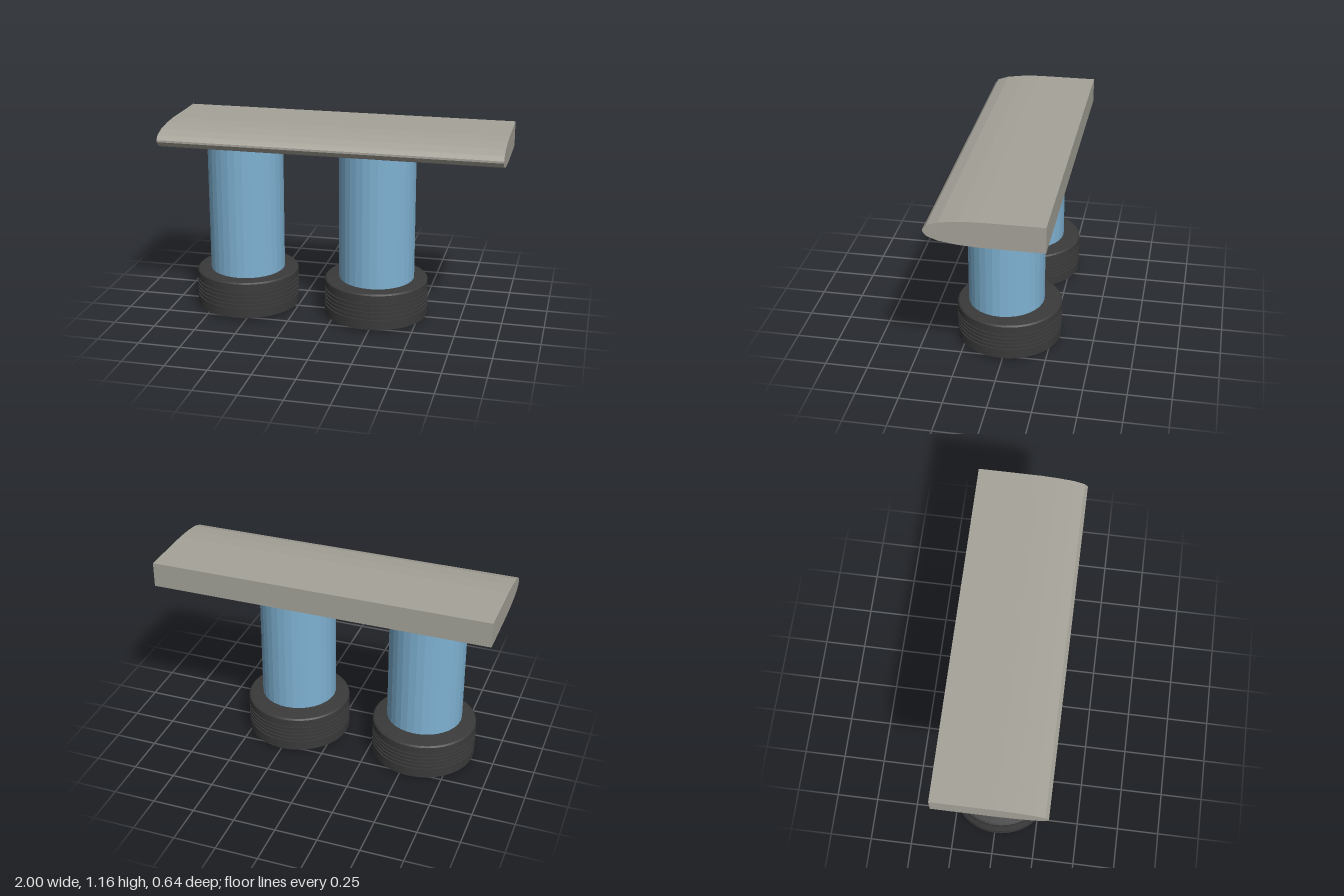
import * as THREE from 'three';

const material = (color) => new THREE.MeshStandardMaterial({ color, flatShading: true });

export function createModel() {
  const model = new THREE.Group();
  const slabMaterial = material(0xa5a399);
  const pillarMaterial = material(0x7fb2d3);
  const collarMaterial = material(0x3a3a3a);

  function add(name, geometry, mat, x = 0, y = 0, z = 0) {
    const mesh = new THREE.Mesh(geometry, mat);
    mesh.name = name;
    mesh.position.set(x, y, z);
    model.add(mesh);
  }

  // Slab: rounded nose at the front, square back; upper edge mirrored about its middle
  const middle = 1.084;
  const upper = [[-0.322, 0.006], [-0.302, 0.031], [-0.24, 0.053], [-0.14, 0.067], [-0.04, 0.073], [0.32, 0.074]];
  const outline = [
    ...upper.map(([u, h]) => new THREE.Vector2(u, h)),
    ...upper.map(([u, h]) => new THREE.Vector2(u, -h)).reverse(),
  ];
  const slab = new THREE.ExtrudeGeometry(new THREE.Shape(outline), { depth: 2, bevelEnabled: false });
  slab.rotateY(Math.PI / 2).translate(-1, middle, 0);
  add('slab', slab, slabMaterial);

  // Pillar, its top buried in the slab
  const pillar = new THREE.CylinderGeometry(0.225, 0.225, 1.08, 32);

  // Collar profile: lower band, four narrow grooves, upper band, sloping top
  const profile = [[0.2, 0.02], [0.31, 0.02], [0.31, 0.08]];
  for (let i = 0; i < 4; i++) {
    const y = 0.08 + i * 0.025;
    profile.push([0.302, y], [0.302, y + 0.011], [0.31, y + 0.011], [0.31, y + 0.025]);
  }
  profile.push([0.302, 0.18], [0.302, 0.19], [0.31, 0.19], [0.308, 0.232], [0.3, 0.24], [0.24, 0.249], [0.2, 0.256]);
  const collar = new THREE.LatheGeometry(profile.map(([r, y]) => new THREE.Vector2(r, y)), 64);

  // Two supports, the collars sitting slightly off the pillar axes
  for (const [side, x] of [['right', -0.558], ['left', 0.244]]) {
    add(`${side}Pillar`, pillar, pillarMaterial, x, 0.54, 0.023);
    add(`${side}Collar`, collar, collarMaterial, x - 0.005, 0, 0.006);
  }
  return model;
}
